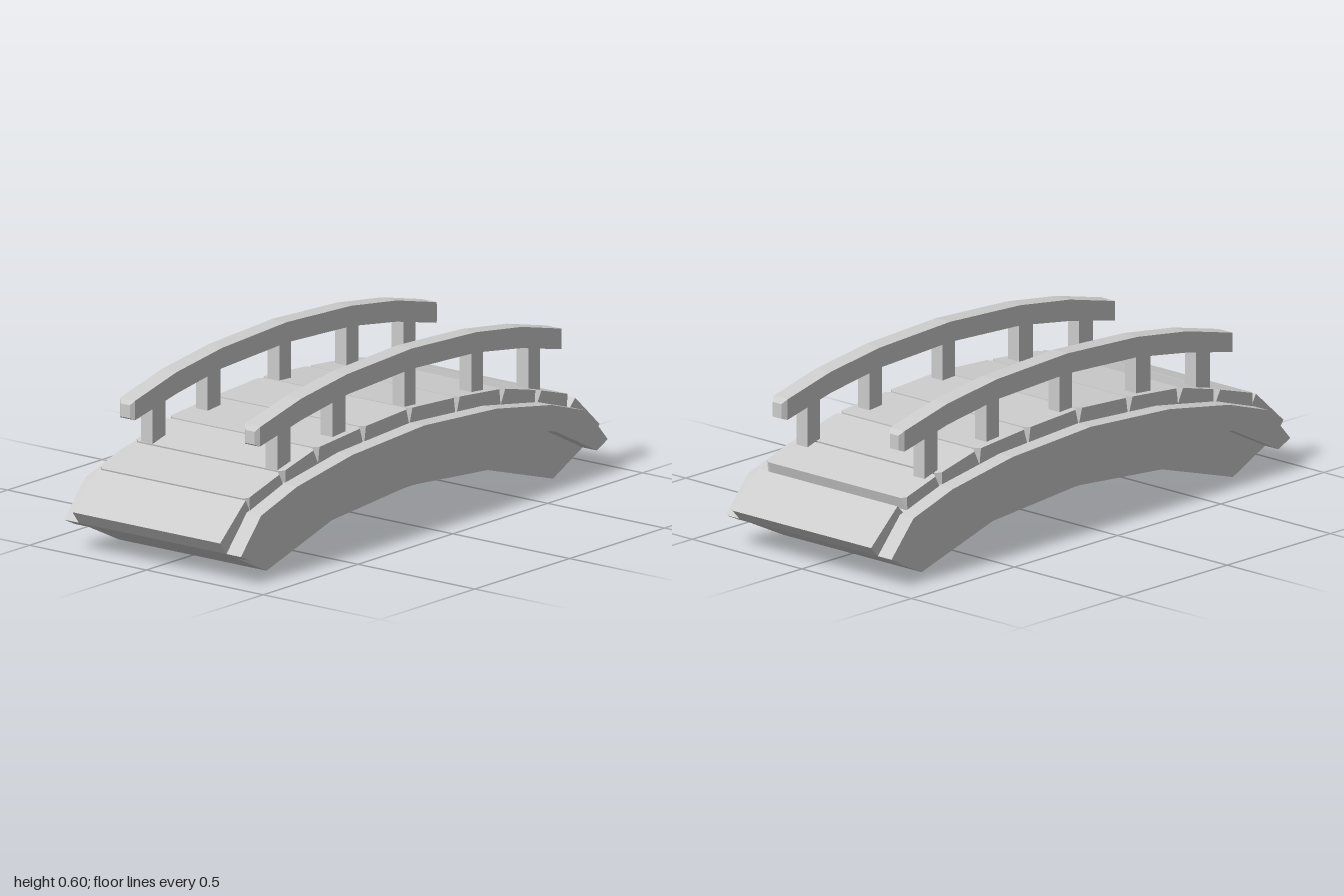
import * as THREE from 'three';

const wood = new THREE.MeshStandardMaterial({ color: 0xcccccc, flatShading: true });
wood.name = 'paleGrey';

function addMesh(parent, name, geometry) {
  const mesh = new THREE.Mesh(geometry, wood);
  mesh.name = name;
  parent.add(mesh);
  return mesh;
}

// Extrudes an x-y outline between two z values
function prism(points, z0, z1) {
  const shape = new THREE.Shape(points.map(([x, y]) => new THREE.Vector2(x, y)));
  const geo = new THREE.ExtrudeGeometry(shape, { depth: z1 - z0, bevelEnabled: false });
  return geo.translate(0, 0, z0);
}

// Skins a row of four-cornered sections and closes both ends
function loft(sections) {
  const pos = [];
  const quad = (a, b, c, d) => pos.push(...a, ...b, ...c, ...a, ...c, ...d);
  for (let i = 0; i < sections.length - 1; i++) {
    const s = sections[i], t = sections[i + 1];
    for (let j = 0; j < 4; j++) {
      const k = (j + 1) % 4;
      quad(s[j], s[k], t[k], t[j]);
    }
  }
  const first = sections[0], last = sections[sections.length - 1];
  quad(first[3], first[2], first[1], first[0]);
  quad(last[0], last[1], last[2], last[3]);
  const geo = new THREE.BufferGeometry();
  geo.setAttribute('position', new THREE.Float32BufferAttribute(pos, 3));
  geo.computeVertexNormals();
  return geo;
}

// Mirrors a half profile (centre to right end) into a left-to-right line
const mirrorX = (half) => [...half.slice(1).reverse().map(([x, y]) => [-x, y]), ...half];

export function createModel() {
  const bridge = new THREE.Group();
  bridge.name = 'footbridge';

  const archTop = mirrorX([[0, 0.355], [0.38, 0.333], [0.67, 0.285], [0.86, 0.225], [0.967, 0.105]]);
  const archBottom = mirrorX([[0, 0.138], [0.41, 0.105], [0.755, 0.003]]);
  const bandBottom = mirrorX([[0, 0.285], [0.4, 0.256], [0.69, 0.19], [0.91, 0.078]]);
  const topReversed = [...archTop].reverse();

  // Arch body, with a wider band along each side
  addMesh(bridge, 'archBody', prism([...archBottom, ...topReversed], -0.316, 0.316));
  const band = [...bandBottom, ...topReversed];
  addMesh(bridge, 'frontSideBand', prism(band, 0.316, 0.378));
  addMesh(bridge, 'backSideBand', prism(band, -0.378, -0.316));

  // Sloping slabs at both ends
  addMesh(bridge, 'rightRamp', prism([[0.84, 0.225], [0.967, 0.105], [1, 0.14], [0.872, 0.257]], -0.316, 0.316));
  addMesh(bridge, 'leftRamp', prism([[-0.967, 0.105], [-0.84, 0.22], [-0.866, 0.268], [-1, 0.148]], -0.316, 0.316));

  // Deck planks, their top corners cut away at the two sides
  const joints = [[-0.865, 0.27], [-0.675, 0.325], [-0.495, 0.37], [-0.25, 0.391], [-0.005, 0.405],
    [0.245, 0.391], [0.485, 0.37], [0.675, 0.325], [0.845, 0.275]];
  const planks = new THREE.Group();
  planks.name = 'deckPlanks';
  bridge.add(planks);
  for (let i = 0; i < joints.length - 1; i++) {
    const [x0, y0] = joints[i], [x1, y1] = joints[i + 1];
    const slope = (y1 - y0) / (x1 - x0), thick = 0.06;
    const lean = slope * thick;
    const section = (z, gap) => [
      [x0 + 0.003 + lean, y0 - thick, z],
      [x1 - 0.003 + lean, y1 - thick, z],
      [x1 - gap, y1 - gap * slope, z],
      [x0 + gap, y0 + gap * slope, z],
    ];
    addMesh(planks, 'plank', loft([
      section(-0.318, 0.016), section(-0.302, 0.004), section(0.302, 0.004), section(0.318, 0.016),
    ]));
  }

  // Handrails: a bent beam with tapered ends, on five posts
  const railLine = [[-0.8, 0.497, 0.43], [-0.58, 0.55, 0.476], [-0.34, 0.583, 0.513], [0, 0.6, 0.53],
    [0.34, 0.585, 0.515], [0.58, 0.553, 0.48], [0.79, 0.503, 0.432]];
  const railSection = (x, top, bottom, inset) => [
    [x + 0.03, bottom + inset, -0.032 + inset], [x + 0.03, top - inset, -0.032 + inset],
    [x + 0.03, top - inset, 0.032 - inset], [x + 0.03, bottom + inset, 0.032 - inset],
  ];
  const railGeometry = loft([
    railSection(-0.812, 0.494, 0.425, 0.012),
    ...railLine.map(([x, top, bottom]) => railSection(x, top, bottom, 0)),
    railSection(0.806, 0.5, 0.425, 0.012),
  ]);
  const posts = [[-0.635, 0.068, 0.31, 0.48], [-0.345, 0.068, 0.36, 0.53], [0.03, 0.06, 0.38, 0.55],
    [0.385, 0.062, 0.36, 0.53], [0.685, 0.062, 0.31, 0.48]];
  for (const side of [1, -1]) {
    const railing = new THREE.Group();
    railing.name = side > 0 ? 'frontRailing' : 'backRailing';
    railing.position.z = side * 0.267;
    bridge.add(railing);
    addMesh(railing, 'handrail', railGeometry);
    for (const [x, width, bottom, top] of posts) {
      const post = addMesh(railing, 'railPost', new THREE.BoxGeometry(width, top - bottom, 0.051));
      post.position.set(x, (top + bottom) / 2, 0);
    }
  }
  return bridge;
}
